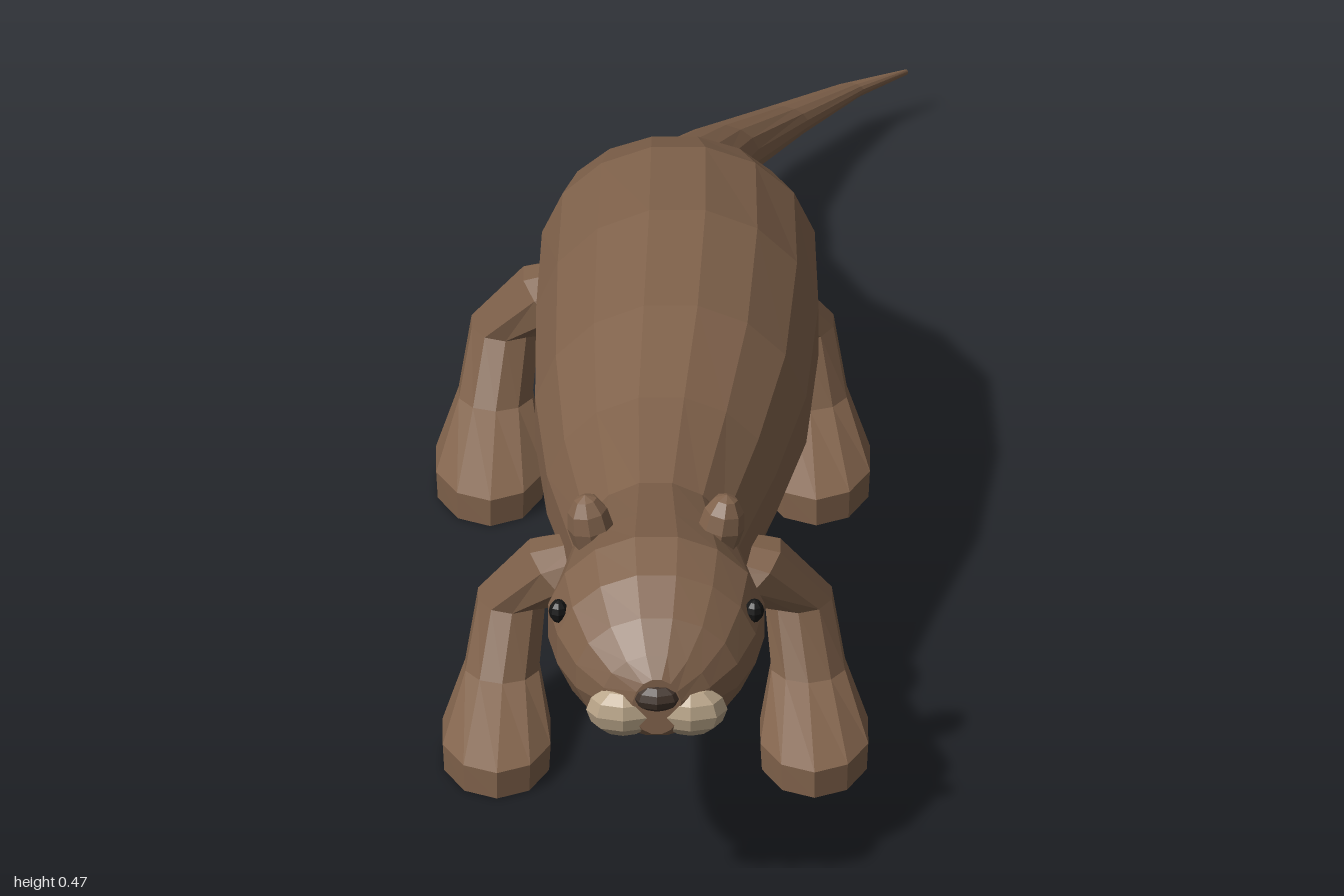
import * as THREE from 'three';

const material = (color) => new THREE.MeshStandardMaterial({ color, flatShading: true });
const fur = material(0x80624b);
const muzzleFur = material(0xb8a488);
const noseSkin = material(0x40322a);
const eyeBlack = material(0x151515);
const HEAD_X = -0.028; // the animal stands slightly off centre, its tail sweeps to +x

// Closed skin through a list of rings, each a list of Vector3
function loft(rings) {
  const pos = [];
  const tri = (...pts) => pts.forEach((p) => pos.push(p.x, p.y, p.z));
  const centre = (ring) => ring.reduce((s, p) => s.add(p), new THREE.Vector3()).divideScalar(ring.length);
  const n = rings[0].length;
  const first = rings[0], last = rings[rings.length - 1];
  const c0 = centre(first), c1 = centre(last);
  for (let i = 0; i < n; i++) {
    const j = (i + 1) % n;
    for (let k = 0; k + 1 < rings.length; k++) {
      const a = rings[k], b = rings[k + 1];
      tri(a[i], b[i], b[j]);
      tri(a[i], b[j], a[j]);
    }
    tri(c0, first[i], first[j]);
    tri(c1, last[j], last[i]);
  }
  const g = new THREE.BufferGeometry();
  g.setAttribute('position', new THREE.Float32BufferAttribute(pos, 3));
  g.computeVertexNormals();
  return g;
}

function ringOf(n, fn) {
  return Array.from({ length: n }, (_, i) => {
    const a = ((i + 0.5) / n) * Math.PI * 2;
    return fn(Math.cos(a), Math.sin(a));
  });
}

function add(group, name, geometry, mat, x = 0, y = 0, z = 0) {
  const mesh = new THREE.Mesh(geometry, mat);
  mesh.name = name;
  mesh.position.set(x, y, z);
  group.add(mesh);
  return mesh;
}

const blob = (rx, ry, rz, w = 8, h = 6) => new THREE.SphereGeometry(1, w, h).scale(rx, ry, rz);

// Upright rings: [z, centre x, half width, top y, bottom y]
const spine = (sections) => loft(sections.map(([z, cx, hw, top, bottom]) =>
  ringOf(16, (c, s) => new THREE.Vector3(cx + hw * c, (top + bottom) / 2 + ((top - bottom) / 2) * s, z))));

// Leg rings from shoulder to sole: [offset x, y, z, half width, half length, tilt]
const LEG = [
  [0.06, 0.245, 0.51, 0.03, 0.045, 1],
  [0.118, 0.225, 0.51, 0.036, 0.057, 1],
  [0.174, 0.17, 0.47, 0.043, 0.05, 0],
  [0.186, 0.092, 0.507, 0.047, 0.048, 0],
  [0.193, 0.036, 0.573, 0.069, 0.103, 0],
  [0.193, 0, 0.573, 0.067, 0.102, 0],
];

function leg(side, spread, shiftZ) {
  return loft(LEG.map(([x, y, z, hw, hl, tilt]) => ringOf(10, (c, s) =>
    new THREE.Vector3(side * (x + spread) + hw * c, y + side * tilt * hw * c, z + shiftZ - hl * s))));
}

export function createModel() {
  const model = new THREE.Group();
  model.name = 'otter';

  // Head and neck
  add(model, 'head', spine([
    [0.985, HEAD_X, 0.03, 0.342, 0.265],
    [0.965, HEAD_X, 0.066, 0.365, 0.252],
    [0.93, HEAD_X, 0.1, 0.398, 0.234],
    [0.88, HEAD_X, 0.123, 0.43, 0.221],
    [0.82, HEAD_X, 0.134, 0.45, 0.212],
    [0.72, HEAD_X, 0.12, 0.425, 0.19],
    [0.57, HEAD_X, 0.1, 0.388, 0.166],
  ]), fur);

  // Trunk running into the curved tail
  add(model, 'bodyAndTail', spine([
    [0.6, HEAD_X, 0.1, 0.39, 0.168],
    [0.41, -0.02, 0.142, 0.412, 0.136],
    [0.25, -0.008, 0.168, 0.45, 0.124],
    [0.05, 0.001, 0.175, 0.47, 0.127],
    [-0.14, 0.003, 0.169, 0.45, 0.148],
    [-0.27, -0.001, 0.142, 0.39, 0.162],
    [-0.4, -0.012, 0.096, 0.305, 0.15],
    [-0.54, 0.011, 0.064, 0.23, 0.112],
    [-0.69, 0.053, 0.051, 0.166, 0.08],
    [-0.83, 0.127, 0.037, 0.112, 0.062],
    [-0.95, 0.213, 0.019, 0.076, 0.053],
    [-1, 0.283, 0.003, 0.066, 0.058],
  ]), fur);

  // Nose
  add(model, 'nose', blob(0.031, 0.018, 0.022), noseSkin, HEAD_X, 0.315, 0.978);

  for (const side of [1, -1]) {
    const name = side > 0 ? 'left' : 'right';
    const x = (offset) => HEAD_X + side * offset;

    // Face
    add(model, name + 'MuzzlePad', blob(0.045, 0.033, 0.03), muzzleFur, x(0.041), 0.288, 0.963);
    add(model, name + 'Eye', blob(0.012, 0.015, 0.013), eyeBlack, x(0.119), 0.369, 0.863);
    const ear = add(model, name + 'Ear', blob(0.028, 0.044, 0.028), fur, x(0.08), 0.412, 0.73);
    ear.rotation.z = -side * 0.15;

    // Legs
    add(model, name + 'FrontLeg', leg(side, 0, 0), fur, HEAD_X);
    add(model, name + 'BackLeg', leg(side, 0.005, -0.67), fur, HEAD_X);
  }
  return model;
}
